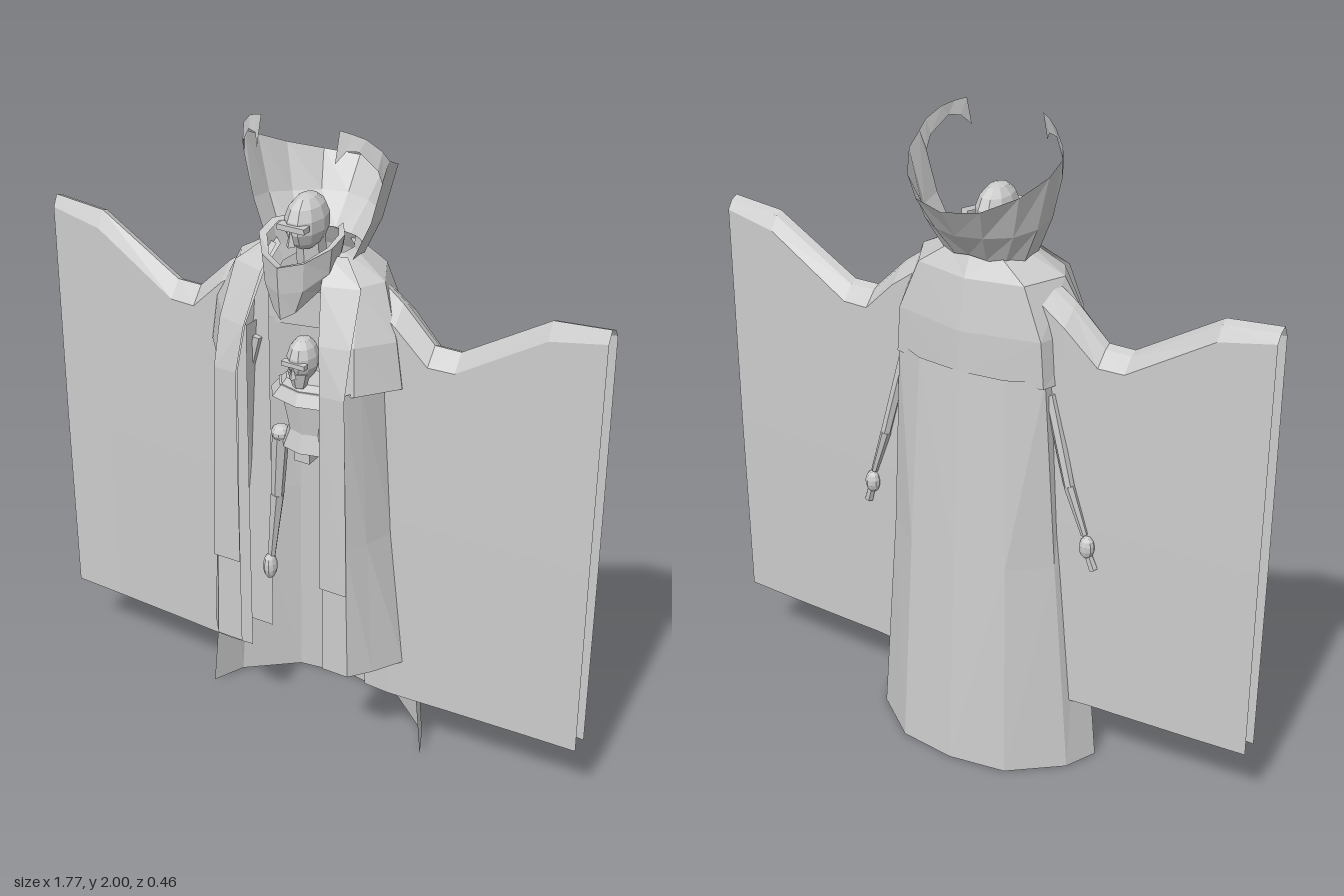
import * as THREE from 'three';

const cloth = new THREE.MeshStandardMaterial({ color: 0xcccccc, flatShading: true, side: THREE.DoubleSide });
cloth.name = 'pale grey';

// Faceted surface through rows of [x, y, z] points
function loft(rows) {
  const pos = [];
  for (let i = 0; i < rows.length - 1; i++) {
    for (let j = 0; j < rows[i].length - 1; j++) {
      const a = rows[i][j], b = rows[i][j + 1], c = rows[i + 1][j + 1], d = rows[i + 1][j];
      pos.push(...a, ...b, ...c, ...a, ...c, ...d);
    }
  }
  const g = new THREE.BufferGeometry();
  g.setAttribute('position', new THREE.Float32BufferAttribute(pos, 3));
  g.computeVertexNormals();
  return g;
}
const flip = (rows) => rows.map((r) => r.map(([x, y, z]) => [-x, y, z]));
const level = (y, pts) => pts.map(([x, z]) => [x, y, z]);

export function createModel() {
  const model = new THREE.Group();
  model.name = 'robedFigure';

  const add = (name, geometry, x = 0, y = 0, z = 0, sx = 1, sy = 1, sz = 1) => {
    const m = new THREE.Mesh(geometry, cloth);
    m.name = name;
    m.position.set(x, y, z);
    m.scale.set(sx, sy, sz);
    model.add(m);
    return m;
  };
  const pair = (name, rows) => {
    add(name + 'Left', loft(rows));
    add(name + 'Right', loft(flip(rows)));
  };
  const ball = (name, x, y, z, rx, ry, rz) =>
    add(name, new THREE.SphereGeometry(1, 10, 7), x, y, z, rx, ry, rz);
  // Tapered limb between two points
  const limb = (name, a, b, ra, rb) => {
    const p = new THREE.Vector3(...a), q = new THREE.Vector3(...b);
    const m = add(name, new THREE.CylinderGeometry(rb, ra, p.distanceTo(q), 6));
    m.position.copy(p).add(q).multiplyScalar(0.5);
    m.quaternion.setFromUnitVectors(new THREE.Vector3(0, 1, 0), q.sub(p).normalize());
  };

  // High flared collar sweeping round the back into two curved horns
  const low = [[0, 1.63, -0.1], [0.05, 1.62, -0.09], [0.09, 1.6, -0.06], [0.12, 1.58, -0.02], [0.12, 1.58, 0.05]];
  const high = [[0, 1.8, -0.235], [0.1, 1.81, -0.205], [0.175, 1.84, -0.13], [0.22, 1.88, -0.05], [0.225, 1.91, 0.01]];
  const bulge = [[0, 1.71, -0.17], [0.075, 1.71, -0.15], [0.14, 1.71, -0.1], [0.18, 1.72, -0.04], [0.185, 1.73, 0.035]];
  pair('collar', [low, bulge, high]);
  pair('collarHorn', [
    [[0.185, 1.73, 0.035], [0.215, 1.85, 0.03], [0.21, 1.89, 0.045], [0.17, 1.945, 0.075], [0.14, 1.945, 0.09], [0.12, 1.915, 0.115]],
    [[0.185, 1.73, 0.035], [0.225, 1.91, 0.01], [0.215, 1.94, 0.03], [0.18, 1.975, 0.055], [0.15, 1.99, 0.075], [0.12, 2.0, 0.09]],
  ]);

  // Pointed face guard, with a thin turned-in rim
  pair('faceGuard', [
    [[0, 1.625, 0.19], [0.055, 1.64, 0.165], [0.095, 1.67, 0.11], [0.095, 1.685, 0.05], [0.06, 1.68, -0.01]],
    [[0, 1.63, 0.215], [0.065, 1.645, 0.185], [0.115, 1.675, 0.12], [0.115, 1.69, 0.05], [0.07, 1.69, -0.02]],
    [[0, 1.55, 0.21], [0.06, 1.56, 0.18], [0.105, 1.6, 0.115], [0.1, 1.62, 0.05], [0.07, 1.62, -0.02]],
    [[0, 1.47, 0.2], [0.035, 1.49, 0.18], [0.075, 1.54, 0.12], [0.08, 1.57, 0.05], [0.06, 1.58, -0.02]],
  ]);

  // Head and neck
  ball('head', 0, 1.71, 0.055, 0.055, 0.08, 0.085);
  add('brow', new THREE.BoxGeometry(0.085, 0.016, 0.03), 0, 1.715, 0.13);
  add('nose', new THREE.ConeGeometry(0.014, 0.05, 4), 0, 1.69, 0.143);
  limb('neck', [0, 1.5, 0.02], [0, 1.68, 0.04], 0.045, 0.04);

  // Shoulder mantle, open down the front
  pair('mantle', [
    level(1.635, [[0.07, 0.08], [0.11, 0.04], [0.115, 0], [0.08, -0.07], [0, -0.09]]),
    level(1.57, [[0.09, 0.135], [0.19, 0.1], [0.23, 0.03], [0.17, -0.09], [0, -0.125]]),
    level(1.42, [[0.12, 0.19], [0.21, 0.165], [0.29, 0.07], [0.23, -0.1], [0, -0.15]]),
    level(1.28, [[0.135, 0.212], [0.22, 0.18], [0.31, 0.07], [0.24, -0.1], [0, -0.155]]),
  ]);

  // Long back cape
  pair('backCape', [
    level(1.3, [[0.25, 0.02], [0.24, -0.09], [0.14, -0.14], [0, -0.155]]),
    level(0.7, [[0.31, 0.02], [0.275, -0.08], [0.16, -0.17], [0, -0.19]]),
    level(0, [[0.375, 0.02], [0.33, -0.08], [0.18, -0.2], [0, -0.225]]),
  ]);

  // Front robe panels and the narrow stole over them
  pair('frontPanel', [
    level(1.29, [[0.135, 0.21], [0.2, 0.205], [0.225, 0.15], [0.25, 0.06]]),
    level(0.8, [[0.14, 0.212], [0.215, 0.212], [0.25, 0.15], [0.285, 0.06]]),
    level(0.36, [[0.14, 0.212], [0.225, 0.212], [0.275, 0.15], [0.33, 0.06]]),
  ]);
  pair('stole', [
    [[0.08, 1.635, 0.085], [0.13, 1.63, 0.06]],
    [[0.095, 1.57, 0.145], [0.2, 1.57, 0.11]],
    [[0.12, 1.42, 0.2], [0.21, 1.42, 0.18]],
    [[0.135, 1.28, 0.221], [0.21, 1.28, 0.216]],
    [[0.135, 0.65, 0.222], [0.225, 0.65, 0.222]],
  ]);

  // Wide hanging sleeves: two sheets joined along a ridge, open below and at the end
  const sleeve = [
    [0.2, 1.57, 0.06, -0.06], [0.28, 1.51, 0.065, -0.06], [0.38, 1.41, 0.06, -0.05], [0.46, 1.41, 0.055, -0.047],
    [0.72, 1.57, 0.042, -0.035], [0.885, 1.585, 0.035, -0.025],
  ].map(([x, top, zf, zb], i) => {
    const drop = i === 5 ? 0.035 : 0.05;
    return [
      [x, 0.23, zf], [x, 0.85, zf + 0.003], [x, top - drop, zf], [x, top, (zf + zb) / 2 + 0.012],
      [x, top - 0.01, (zf + zb) / 2 - 0.012], [x, top - drop, zb], [x, 0.85, zb - 0.003], [x, 0.23, zb],
    ];
  });
  pair('sleeve', sleeve);

  // Small gaunt figure inside the robe
  ball('innerHead', 0, 1.3, 0.08, 0.044, 0.068, 0.055);
  add('innerBrow', new THREE.BoxGeometry(0.075, 0.014, 0.02), 0, 1.3, 0.128);
  add('innerNose', new THREE.ConeGeometry(0.012, 0.04, 4), 0, 1.28, 0.137);
  add('innerJaw', new THREE.CylinderGeometry(0.035, 0.02, 0.05, 6), 0, 1.245, 0.1);
  add('innerChest', new THREE.CylinderGeometry(0.1, 0.065, 0.15, 8), 0, 1.13, 0.05, 1, 1, 0.6);
  add('shoulderYoke', new THREE.CylinderGeometry(0.075, 0.125, 0.06, 8), 0, 1.195, 0.05, 1, 1, 0.62);
  add('innerWaist', new THREE.CylinderGeometry(0.065, 0.09, 0.06, 8), 0, 1.03, 0.05, 1, 1, 0.6);
  add('innerHips', new THREE.BoxGeometry(0.05, 0.06, 0.06), 0, 0.995, 0.06);
  for (const s of [1, -1]) {
    const side = s > 0 ? 'Left' : 'Right';
    ball('hip' + side, s * 0.095, 1.02, 0.05, 0.03, 0.025, 0.03);
    limb('thigh' + side, [s * 0.095, 1.02, 0.05], [s * 0.115, 0.8, 0.04], 0.026, 0.02);
    limb('shin' + side, [s * 0.115, 0.8, 0.04], [s * 0.145, 0.56, 0.03], 0.022, 0.012);
    ball('foot' + side, s * 0.147, 0.53, 0.035, 0.022, 0.045, 0.024);

    // Thin arms hanging outside the cape
    limb('upperArm' + side, [s * 0.24, 1.25, -0.06], [s * 0.31, 0.98, -0.068], 0.018, 0.016);
    limb('forearm' + side, [s * 0.31, 0.98, -0.068], [s * 0.36, 0.83, -0.062], 0.016, 0.01);
    ball('hand' + side, s * 0.368, 0.79, -0.06, 0.024, 0.036, 0.022);
    limb('fingers' + side, [s * 0.372, 0.77, -0.06], [s * 0.388, 0.72, -0.055], 0.012, 0.014);
  }
  return model;
}
